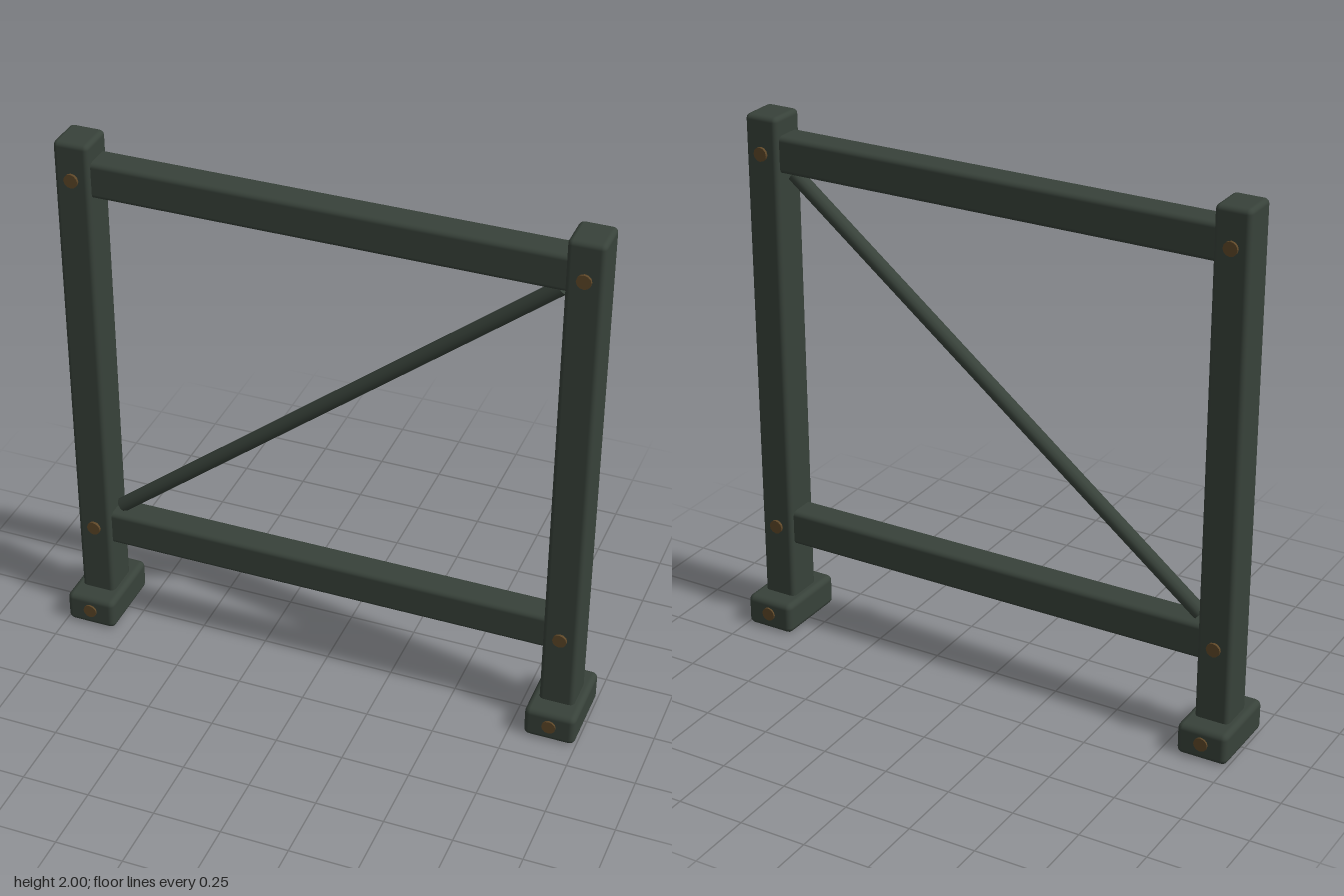
import * as THREE from 'three';
import { RoundedBoxGeometry } from 'three/addons/geometries/RoundedBoxGeometry.js';

export function createModel() {
  const group = new THREE.Group();
  group.name = 'bracedFrame';
  const steel = new THREE.MeshStandardMaterial({ name: 'dark green steel', color: 0x38423a });
  const rust = new THREE.MeshStandardMaterial({ name: 'rusty bolt', color: 0x5e4728 });

  function add(name, geometry, material, x, y, z) {
    const mesh = new THREE.Mesh(geometry, material);
    mesh.name = name;
    mesh.position.set(x, y, z);
    group.add(mesh);
    return mesh;
  }

  // Uprights, feet and the bolt heads on both faces
  const postGeo = new RoundedBoxGeometry(0.13, 1.92, 0.146, 2, 0.018);
  const footGeo = new RoundedBoxGeometry(0.19, 0.12, 0.296, 2, 0.022);
  const boltGeo = new THREE.CylinderGeometry(0.026, 0.026, 0.03, 12).rotateX(Math.PI / 2);
  for (const [side, s] of [['left', 1], ['right', -1]]) {
    add(side + 'Post', postGeo, steel, s * 0.9, 1.04, 0);
    add(side + 'Foot', footGeo, steel, s * 0.9, 0.06, 0);
    for (const [y, z] of [[0.065, 0.14], [0.403, 0.068], [1.863, 0.068]]) {
      for (const face of [1, -1]) {
        add(side + (face > 0 ? 'Front' : 'Back') + 'Bolt', boltGeo, rust, s * 0.9, y, face * z);
      }
    }
  }

  // Horizontal rails running into the posts
  const railGeo = new RoundedBoxGeometry(1.76, 0.135, 0.112, 2, 0.018);
  add('lowerRail', railGeo, steel, 0, 0.403, 0);
  add('upperRail', railGeo, steel, 0, 1.863, 0);

  // Diagonal brace rod
  const halfX = 0.812, halfY = 0.65;
  const braceGeo = new THREE.CylinderGeometry(0.028, 0.028, 2 * Math.hypot(halfX, halfY), 12);
  add('diagonalBrace', braceGeo, steel, 0, 1.133, 0).rotation.z = -Math.atan2(halfX, halfY);

  return group;
}
